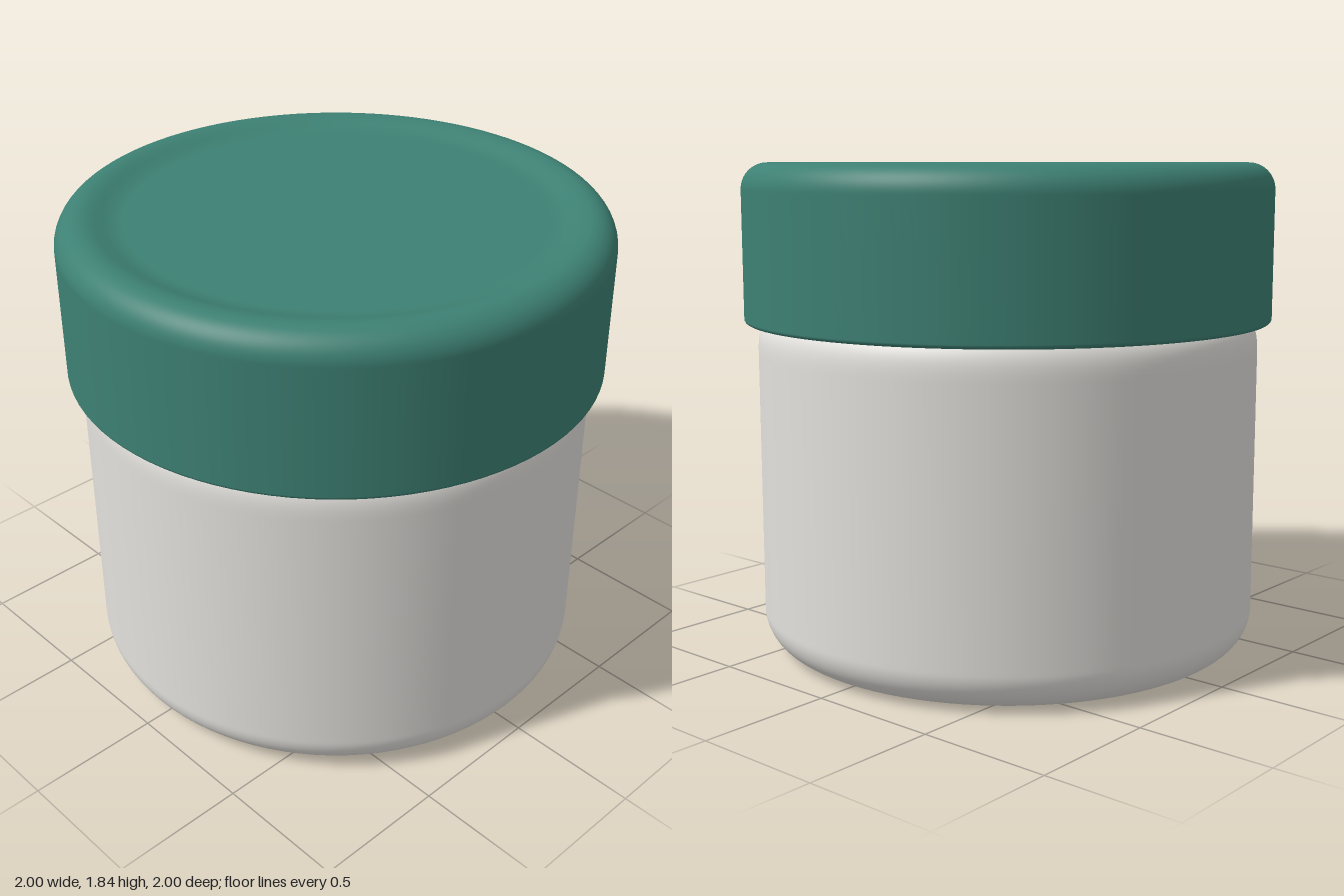
import * as THREE from 'three';

const SEGMENTS = 96;

export function createModel() {
  const jarGrey = new THREE.MeshStandardMaterial({ color: 0xe3e1dd });
  jarGrey.name = 'warm white glass';
  const lidGreen = new THREE.MeshStandardMaterial({ color: 0x3d8073 });
  lidGreen.name = 'teal green lid';

  const model = new THREE.Group();
  model.name = 'jar';

  // Turns a profile, drawn from the bottom up, into a round part
  const turn = (name, path, material) => {
    const mesh = new THREE.Mesh(new THREE.LatheGeometry(path.getPoints(12), SEGMENTS), material);
    mesh.name = name;
    model.add(mesh);
  };

  // Jar: flat base, rounded foot, straight wall, soft shoulder closed under the lid
  const jar = new THREE.Path();
  jar.moveTo(0, 0);
  jar.lineTo(0.79, 0);
  jar.lineTo(0.805, 0);
  jar.absarc(0.805, 0.145, 0.145, -Math.PI / 2, 0, false);
  jar.lineTo(0.95, 0.16);
  jar.lineTo(0.95, 1.13);
  jar.bezierCurveTo(0.95, 1.2, 0.945, 1.25, 0.88, 1.28);
  jar.lineTo(0.86, 1.285);
  jar.lineTo(0, 1.285);
  turn('jarBody', jar, jarGrey);

  // Lid: inner skirt, rounded lip, straight wall, rounded rim, shallow dished top
  const lid = new THREE.Path();
  lid.moveTo(0.9, 1.32);
  lid.lineTo(0.92, 1.262);
  lid.quadraticCurveTo(0.92, 1.25, 0.935, 1.25);
  lid.lineTo(0.985, 1.25);
  lid.absarc(0.985, 1.265, 0.015, -Math.PI / 2, 0, false);
  lid.lineTo(1, 1.28);
  lid.lineTo(1, 1.73);
  lid.absarc(0.9, 1.74, 0.1, 0, Math.PI / 2, false);
  lid.bezierCurveTo(0.85, 1.84, 0.82, 1.81, 0.76, 1.81);
  lid.lineTo(0.74, 1.81);
  lid.lineTo(0, 1.81);
  turn('lid', lid, lidGreen);

  return model;
}
